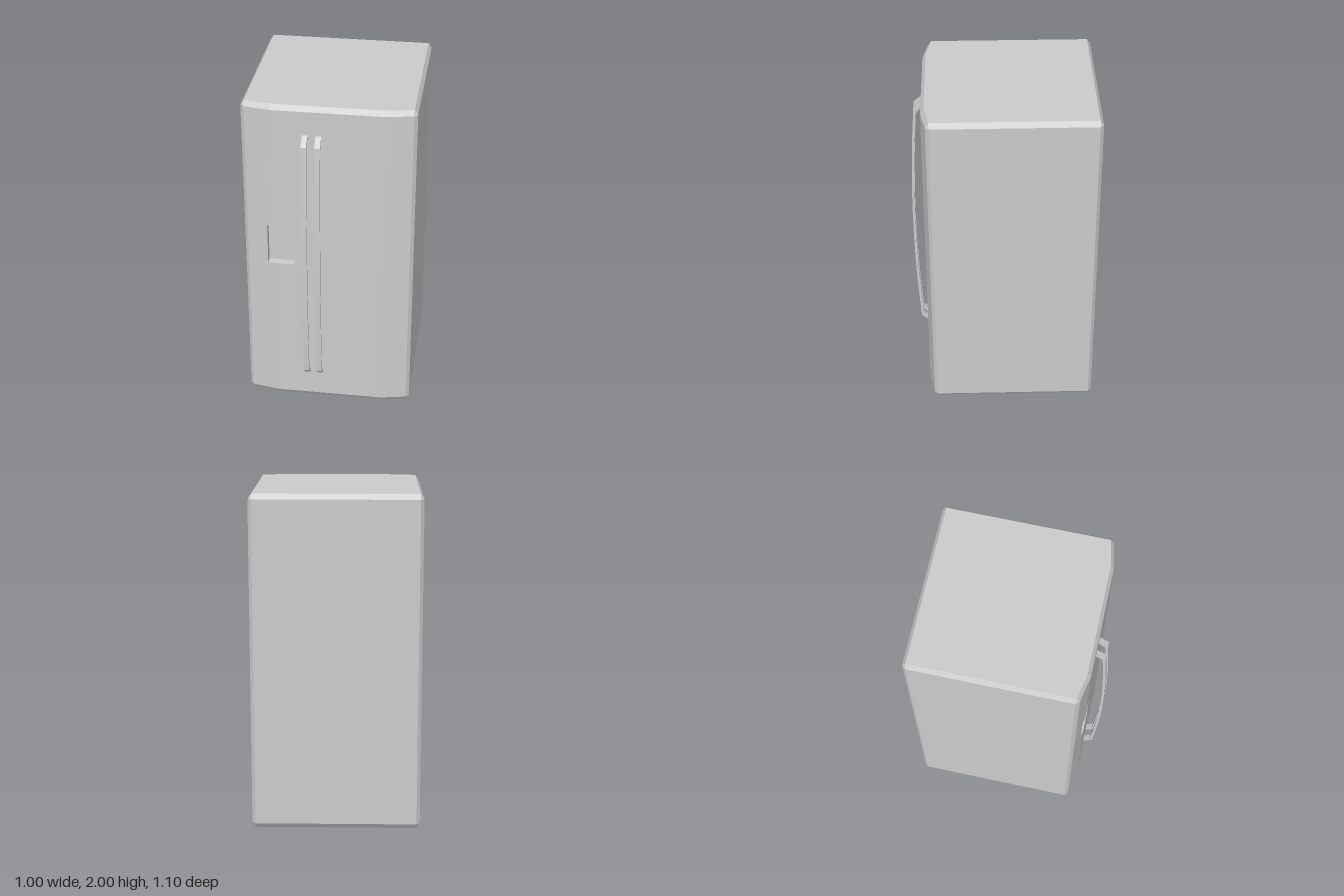
import * as THREE from 'three';

const material = new THREE.MeshStandardMaterial({ color: 0xcccccc, flatShading: true });

// Collects flat four-sided faces (corners anticlockwise) and skips collapsed halves
function faceBuilder() {
  const pos = [];
  const tri = (a, b, c) => {
    const [A, B, C] = [a, b, c].map((p) => new THREE.Vector3(...p));
    if (B.sub(A).cross(C.sub(A)).length() > 1e-9) pos.push(...a, ...b, ...c);
  };
  return {
    tri,
    quad(a, b, c, d) { tri(a, b, c); tri(a, c, d); },
    mesh(name) {
      const geo = new THREE.BufferGeometry();
      geo.setAttribute('position', new THREE.Float32BufferAttribute(pos, 3));
      geo.computeVertexNormals();
      const m = new THREE.Mesh(geo, material);
      m.name = name;
      return m;
    },
  };
}

// Footprint [x, z] of the walls, and the matching inset footprint of top and bottom
const outer = [
  [-0.5, 0.415], [-0.48, 0.435], [-0.36, 0.458], [-0.325, 0.465], [-0.2, 0.465],
  [0.325, 0.465], [0.48, 0.435], [0.5, 0.415],
  [0.5, -0.53], [0.48, -0.55], [-0.48, -0.55], [-0.5, -0.53],
];
const inner = outer.map(([x, z]) => [
  THREE.MathUtils.clamp(x, -0.48, 0.48),
  z > 0.42 ? z - 0.02 : Math.max(z, -0.53),
]);
const rows = [0.03, 0.965, 1.22, 1.97];
const HEIGHT = 2;
const at = ([x, z], y) => [x, y, z];

// Cabinet with chamfered edges, bowed front and an opening for the recess
function createCabinet() {
  const f = faceBuilder();
  const n = outer.length;
  for (let i = 0; i < n; i++) {
    const j = (i + 1) % n;
    const p = outer[i], q = outer[j], pi = inner[i], qi = inner[j];
    for (let r = 0; r < 3; r++) {
      if (r === 1 && (i === 2 || i === 3)) continue;
      f.quad(at(p, rows[r]), at(q, rows[r]), at(q, rows[r + 1]), at(p, rows[r + 1]));
    }
    f.quad(at(pi, 0), at(qi, 0), at(q, rows[0]), at(p, rows[0]));
    f.quad(at(p, rows[3]), at(q, rows[3]), at(qi, HEIGHT), at(pi, HEIGHT));
    f.tri(at(inner[0], HEIGHT), at(pi, HEIGHT), at(qi, HEIGHT));
    f.tri(at(inner[0], 0), at(qi, 0), at(pi, 0));
  }
  return f.mesh('cabinet');
}

// Shallow pocket in the front
function createRecess() {
  const f = faceBuilder();
  const [lo, hi] = [rows[1], rows[2]];
  const front = outer.slice(2, 5);
  const back = front.map(([x]) => [x, 0.415]);
  for (let i = 0; i < 2; i++) {
    const p = front[i], q = front[i + 1], pb = back[i], qb = back[i + 1];
    f.quad(at(p, lo), at(q, lo), at(qb, lo), at(pb, lo));
    f.quad(at(pb, hi), at(qb, hi), at(q, hi), at(p, hi));
    f.quad(at(pb, lo), at(qb, lo), at(qb, hi), at(pb, hi));
  }
  f.quad(at(front[0], lo), at(back[0], lo), at(back[0], hi), at(front[0], hi));
  f.quad(at(back[2], lo), at(front[2], lo), at(front[2], hi), at(back[2], hi));
  return f.mesh('dispenserRecess');
}

// Bowed bar handle: side profile (z, y) extruded across its width
function createHandle(x, name) {
  const mid = 1.005, width = 0.032, steps = 8;
  const bow = (depth, drop, half) => Array.from({ length: steps + 1 }, (_, i) => {
    const t = 1 - (2 * i) / steps;
    return new THREE.Vector2(depth - drop * t * t, mid + half * t);
  });
  const profile = [
    new THREE.Vector2(0.46, mid + 0.825),
    ...bow(0.55, 0.03, 0.77),
    new THREE.Vector2(0.46, mid - 0.825),
    new THREE.Vector2(0.46, mid - 0.803),
    ...bow(0.535, 0.03, 0.757).reverse(),
    new THREE.Vector2(0.46, mid + 0.803),
  ];
  const geo = new THREE.ExtrudeGeometry(new THREE.Shape(profile), { depth: width, bevelEnabled: false });
  geo.translate(0, 0, -width / 2).rotateY(-Math.PI / 2);
  const m = new THREE.Mesh(geo, material);
  m.position.x = x;
  m.name = name;
  return m;
}

export function createModel() {
  const group = new THREE.Group();
  group.name = 'refrigerator';
  group.add(
    createCabinet(),
    createRecess(),
    createHandle(-0.129, 'rightDoorHandle'),
    createHandle(-0.051, 'leftDoorHandle'),
  );
  return group;
}
